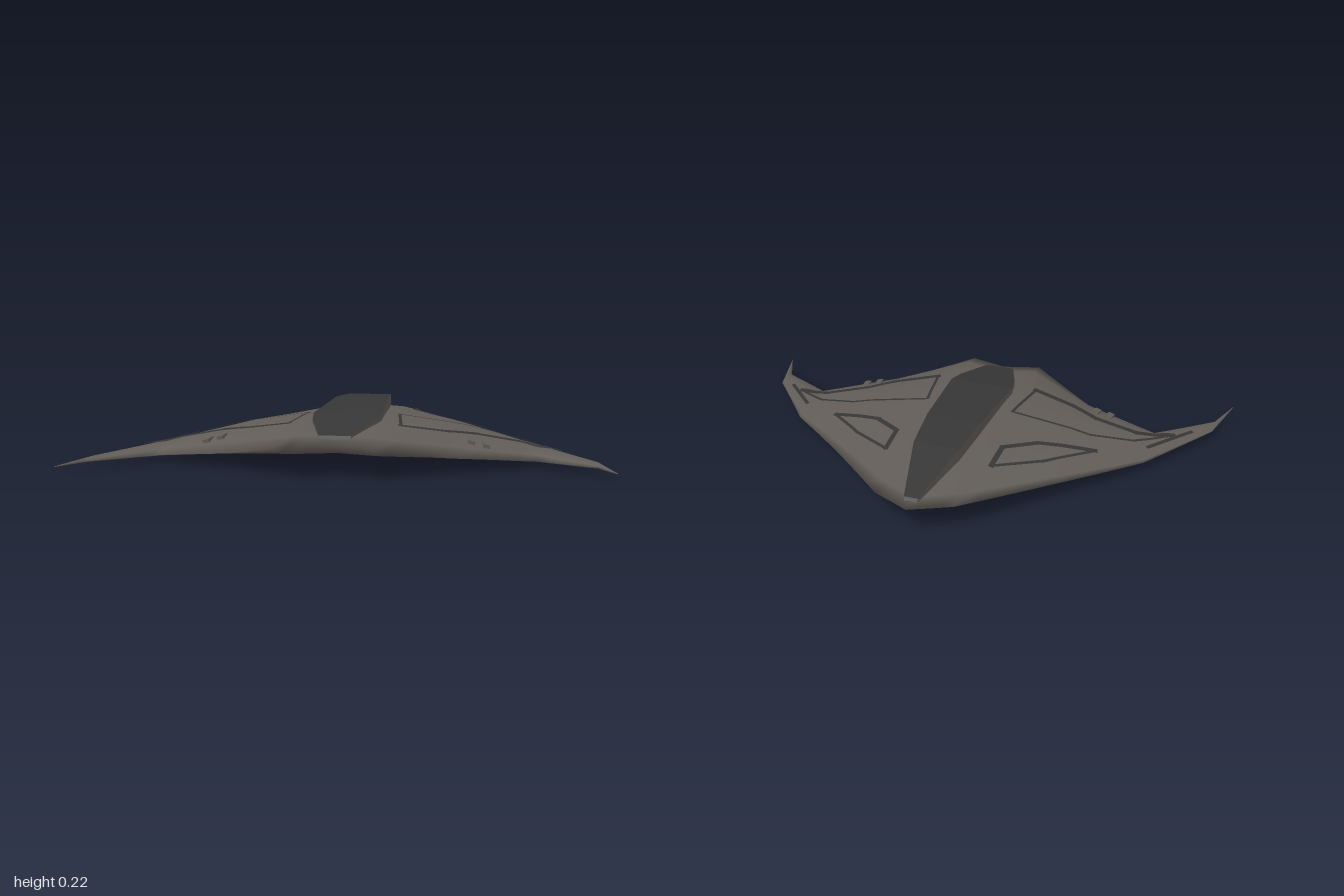
import * as THREE from 'three';

const hull = new THREE.MeshStandardMaterial({ color: 0x615c57, side: THREE.DoubleSide });
hull.name = 'hull grey';
const dark = new THREE.MeshStandardMaterial({ color: 0x363636, side: THREE.DoubleSide });
dark.name = 'charcoal';

// Half-span stations: x, back z, front z, back edge y, front edge y, top y, bottom y
const stations = [
  [0, -0.65, 0.54, 0.123, 0.12, 0.172, 0.06],
  [0.15, -0.57, 0.58, 0.115, 0.12, 0.174, 0.06],
  [0.42, -0.29, 0.4, 0.08, 0.06, 0.135, 0.045],
  [0.72, 0.015, 0.265, 0.04, 0.03, 0.07, 0.02],
  [0.94, 0.318, 0.413, 0.035, 0.03, 0.042, 0.025],
  [1, 0.55, 0.554, 0.034, 0.034, 0.036, 0.033],
];
// Chord profiles: position from back to front, share of the full height
const topProfile = [[0, 0], [0.06, 0.2], [0.2, 0.65], [0.4, 0.95], [0.6, 1], [0.78, 0.85], [0.92, 0.45], [1, 0]];
const bottomProfile = [[0, 0], [0.08, 0.42], [0.25, 0.85], [0.5, 1], [0.75, 1], [0.9, 0.75], [1, 0]];

const lerp = THREE.MathUtils.lerp;
// Linear lookup in a table keyed by its first column
function lookup(table, key) {
  let i = 0;
  while (i < table.length - 2 && key > table[i + 1][0]) i++;
  const a = table[i], b = table[i + 1];
  const k = THREE.MathUtils.clamp((key - a[0]) / (b[0] - a[0]), 0, 1);
  return a.map((v, n) => lerp(v, b[n], k));
}

// One wing sweeps a little further than the other
const skew = (x) => -0.1 * x * Math.abs(x);

function hullPoint(x, t, top) {
  const [, zb, zf, eb, ef, yt, yb] = lookup(stations, Math.abs(x));
  const edge = lerp(eb, ef, t);
  const f = lookup(top ? topProfile : bottomProfile, t)[1];
  return [x, lerp(edge, top ? yt : yb, f), lerp(zb, zf, t) + skew(x)];
}

function surfaceY(x, z) {
  const [, zb, zf] = lookup(stations, Math.abs(x));
  return hullPoint(x, THREE.MathUtils.clamp((z - skew(x) - zb) / (zf - zb), 0, 1), true)[1];
}

// Surface through rows of points; each column gets the material index in columns
function grid(rows, { flat = false, columns = [] } = {}) {
  const n = rows[0].length, index = [], strip = (rows.length - 1) * 6;
  let g = new THREE.BufferGeometry();
  for (let j = 0; j < n - 1; j++) {
    for (let i = 0; i < rows.length - 1; i++) {
      const a = i * n + j, b = a + 1, c = a + n, d = c + 1;
      index.push(a, b, c, b, d, c);
    }
    if (columns.length) g.addGroup(j * strip, strip, columns[j]);
  }
  g.setAttribute('position', new THREE.Float32BufferAttribute(rows.flat(2), 3));
  g.setIndex(index);
  if (flat) g = g.toNonIndexed();
  g.computeVertexNormals();
  return g;
}

function faceted(geometry) {
  const g = geometry.toNonIndexed();
  g.computeVertexNormals();
  return g;
}

// Strips laid over the hull along a path, given for an unskewed wing
function ribbons(points, width, side) {
  const parts = [];
  for (let k = 0; k < points.length - 1; k++) {
    const [a, b] = [points[k], points[k + 1]].map(([x, z]) => [x * side, z + skew(x * side)]);
    const len = Math.hypot(b[0] - a[0], b[1] - a[1]);
    const dx = (b[0] - a[0]) / len, dz = (b[1] - a[1]) / len;
    const rows = [], steps = 12;
    for (let i = 0; i <= steps; i++) {
      const s = lerp(-width * 0.4, len + width * 0.4, i / steps);
      rows.push([-0.5, 0.5].map((o) => {
        const x = a[0] + dx * s - dz * o * width, z = a[1] + dz * s + dx * o * width;
        return [x, surfaceY(x, z) + 0.006, z];
      }));
    }
    parts.push(grid(rows));
  }
  return parts;
}

export function createModel() {
  const model = new THREE.Group();
  const add = (name, geometry, material, x = 0, y = 0, z = 0) => {
    const mesh = new THREE.Mesh(geometry, material);
    mesh.name = name;
    mesh.position.set(x, y, z);
    model.add(mesh);
    return mesh;
  };

  // Flying-wing hull: closed sections with a rounded rim and a dark belly
  const half = [];
  for (let i = 0; i < stations.length - 1; i++) {
    for (let k = 0; k < 4; k++) half.push(lerp(stations[i][0], stations[i + 1][0], k / 4));
  }
  half.push(1);
  const xs = [...half.slice(1).reverse().map((x) => -x), ...half];
  const section = [
    ...[0.5, 0.25, 0.08].map((t) => [t, false]),
    ...topProfile.map(([t]) => [t, true]),
    ...[0.9, 0.75, 0.5].map((t) => [t, false]),
  ];
  const columns = section.slice(1).map(([t, top], j) => {
    const [t0, top0] = section[j];
    return !top && !top0 && Math.max(t, t0) <= 0.9 ? 1 : 0;
  });
  const sections = xs.map((x) => section.map(([t, top]) => hullPoint(x, t, top)));
  add('hull', grid(sections, { columns }), [hull, dark]);

  // Raised spine: dark top, hull-coloured side walls; rows are z, half width, y
  const spine = [
    [-0.605, 0.022, 0.125], [-0.595, 0.028, 0.14], [-0.33, 0.09, 0.207], [-0.13, 0.11, 0.217],
    [0.22, 0.132, 0.195], [0.3, 0.12, 0.181], [0.48, 0.06, 0.148], [0.49, 0.056, 0.12],
  ];
  add('canopyTop', grid(spine.map(([z, w, y]) => [[w, y, z], [-w, y, z]]), { flat: true }), dark);
  for (const s of [1, -1]) {
    const wall = spine.map(([z, w, y]) => {
      const pair = [[s * w, Math.min(y, 0.12), z], [s * w, y, z]];
      return s > 0 ? pair : pair.reverse();
    });
    add('canopySide', grid(wall, { flat: true }), hull);
  }

  // Panel frames and vents on each wing
  const frames = [
    ['rearPanelFrame', 0.012, [[0.54, -0.035], [0.38, -0.19], [0.21, -0.315]]],
    ['rearPanelEdge', 0.02, [[0.21, -0.315], [0.215, -0.19], [0.33, -0.1], [0.54, -0.035]]],
    ['frontPanelFrame', 0.012, [[0.215, 0.29], [0.18, 0.062], [0.5, 0.05], [0.66, 0.1], [0.8, 0.21]]],
    ['frontPanelEdge', 0.028, [[0.8, 0.21], [0.66, 0.165], [0.49, 0.19], [0.38, 0.245], [0.215, 0.29]]],
    ['wingtipStripe', 0.014, [[0.72, 0.09], [0.865, 0.27]]],
  ];
  for (const side of [1, -1]) {
    for (const [name, width, path] of frames) {
      for (const g of ribbons(path, width, side)) add(name, g, dark);
    }
    for (const vx of [0.475, 0.53]) {
      const x = vx * side, z = 0.272 + skew(x);
      const vent = add('vent', new THREE.BoxGeometry(0.026, 0.016, 0.046), hull, x, surfaceY(x, z), z);
      vent.rotation.set(0.12, 0.15 * side, -0.22 * side);
    }
  }

  // Belly turret and two small pads
  const turret = [[0, 0], [0.1, 0], [0.115, 0.013], [0.115, 0.03], [0.1, 0.034], [0.1, 0.042],
    [0.14, 0.042], [0.155, 0.052], [0.155, 0.085]].map(([r, y]) => new THREE.Vector2(r, y));
  add('bellyTurret', faceted(new THREE.LatheGeometry(turret, 14)), hull, 0, 0, -0.27);
  for (const s of [1, -1]) {
    add('bellyPad', faceted(new THREE.CylinderGeometry(0.065, 0.055, 0.025, 8)), hull, s * 0.2, 0.06, -0.16);
  }
  return model;
}
